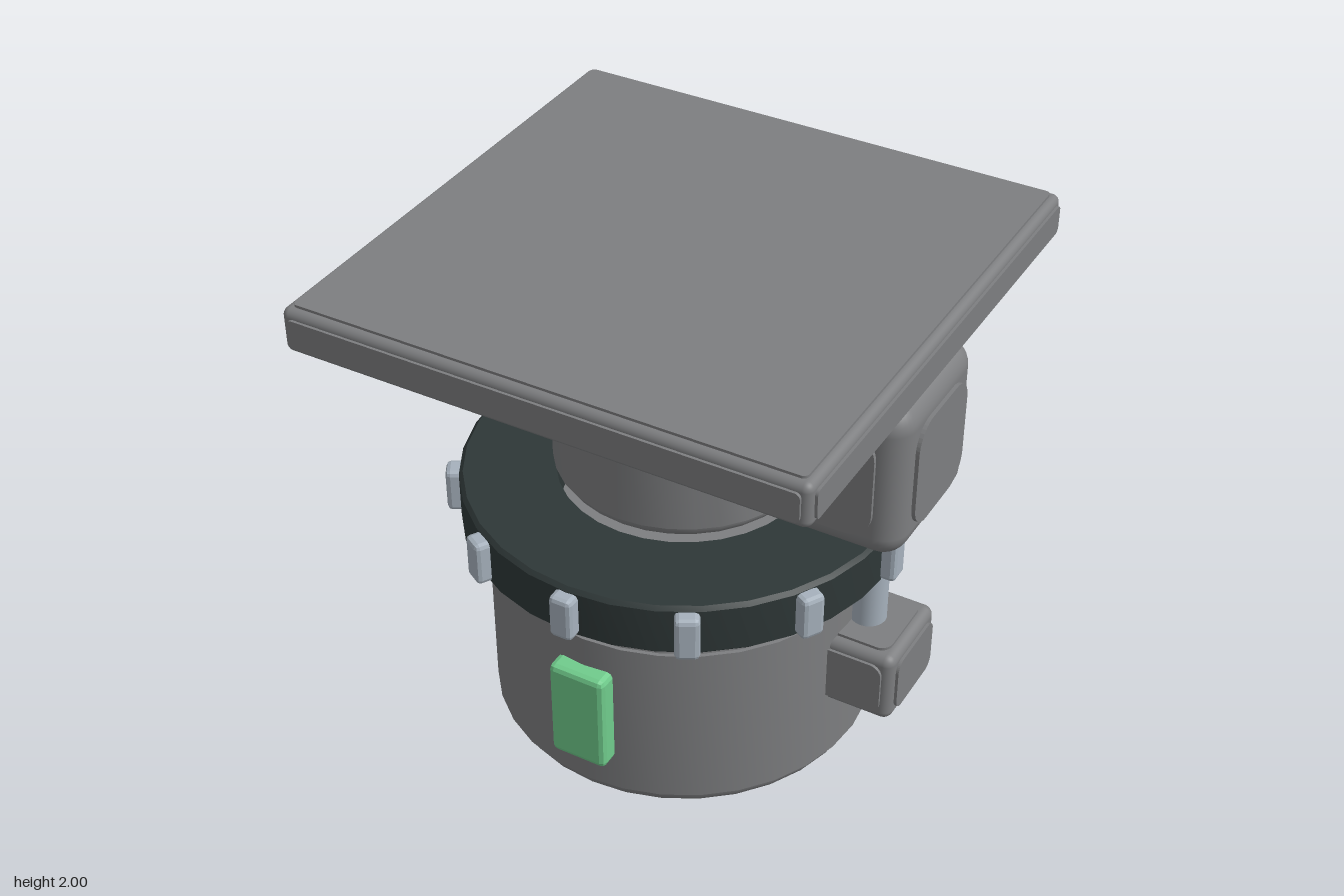
import * as THREE from 'three';
import { toCreasedNormals } from 'three/addons/utils/BufferGeometryUtils.js';
import { RoundedBoxGeometry } from 'three/addons/geometries/RoundedBoxGeometry.js';

const material = (name, color) => new THREE.MeshStandardMaterial({ name, color });

export function createModel() {
  const grey = material('machine grey', 0x7d7e80);
  const dark = material('dark ring', 0x2e3737);
  const steel = material('light steel', 0xa6b1bc);
  const green = material('indicator green', 0x70cc8c);

  const model = new THREE.Group();
  model.name = 'turntable';
  const axisX = -0.01;

  const add = (parent, name, geometry, mat, x = 0, y = 0, z = 0) => {
    const mesh = new THREE.Mesh(geometry, mat);
    mesh.name = name;
    mesh.position.set(x, y, z);
    parent.add(mesh);
    return mesh;
  };

  const lathe = (points) => toCreasedNormals(
    new THREE.LatheGeometry(points.map(([r, y]) => new THREE.Vector2(r, y)), 32), 0.6);

  // Drum with rounded shoulders and slightly raised wall and end caps
  const drum = (radius, y0, y1, bevel, step) => {
    const lower = [[0, y0], [radius - bevel, y0], [radius - bevel, y0 + step]];
    const b = bevel - step;
    for (let i = 1; i <= 5; i++) {
      const a = (i / 5) * Math.PI / 2;
      lower.push([radius - bevel + b * Math.sin(a), y0 + step + b * (1 - Math.cos(a))]);
    }
    lower.push([radius, y0 + bevel]);
    const upper = lower.map(([r, y]) => [r, y0 + y1 - y]).reverse();
    return lathe([...lower, ...upper]);
  };

  // Box with chamfered edges and flat faces
  const chamferBox = (w, h, d, c) => {
    const g = new RoundedBoxGeometry(w, h, d, 1, c);
    const flat = g.index ? g.toNonIndexed() : g;
    flat.computeVertexNormals();
    return flat;
  };

  // Rounded rectangle plate, facing +z
  const panel = (w, h, r, depth) => {
    const s = new THREE.Shape();
    const x = w / 2, y = h / 2;
    s.moveTo(-x + r, -y);
    s.lineTo(x - r, -y);
    s.absarc(x - r, -y + r, r, -Math.PI / 2, 0, false);
    s.absarc(x - r, y - r, r, 0, Math.PI / 2, false);
    s.absarc(-x + r, y - r, r, Math.PI / 2, Math.PI, false);
    s.absarc(-x + r, -y + r, r, Math.PI, Math.PI * 1.5, false);
    return new THREE.ExtrudeGeometry(s, { depth, bevelEnabled: false, curveSegments: 5 });
  };

  // Rounded housing with a raised panel on each of its six sides
  const housing = (name, [w, h, d], [x, y, z], bevel, corner, step) => {
    const group = new THREE.Group();
    group.name = name;
    group.position.set(x, y, z);
    add(group, name + 'Body', new RoundedBoxGeometry(w, h, d, 4, bevel), grey);
    const sides = [
      [w, h, d, 0, 0], [w, h, d, 0, Math.PI],
      [d, h, w, 0, Math.PI / 2], [d, h, w, 0, -Math.PI / 2],
      [w, d, h, -Math.PI / 2, 0], [w, d, h, Math.PI / 2, 0],
    ];
    for (const [pw, ph, depth, rx, ry] of sides) {
      const g = panel(pw - 2 * bevel, ph - 2 * bevel, corner, 0.01 + step);
      g.translate(0, 0, depth / 2 - 0.01);
      add(group, name + 'Panel', g, grey).rotation.set(rx, ry, 0);
    }
    model.add(group);
  };

  // Stacked drums
  add(model, 'baseDrum', drum(0.73, 0, 0.872, 0.095, 0.014), grey, axisX);
  add(model, 'upperDrum', drum(0.48, 1.07, 1.825, 0.075, 0.012), grey, axisX);

  // Gear ring with a centre hole
  add(model, 'gearRing', lathe([
    [0.47, 0.87], [0.81, 0.87], [0.825, 0.885], [0.825, 1.065],
    [0.81, 1.08], [0.47, 1.08], [0.47, 0.87],
  ]), dark, axisX);

  // Twelve teeth round the ring
  const teeth = new THREE.Group();
  teeth.name = 'gearTeeth';
  teeth.position.set(axisX, 0.975, 0);
  for (let i = 0; i < 12; i++) {
    const a = (i * Math.PI) / 6;
    const tooth = add(teeth, 'tooth', chamferBox(0.09, 0.175, 0.09, 0.018), steel,
      0.83 * Math.sin(a), 0, 0.83 * Math.cos(a));
    tooth.rotation.y = a;
  }
  model.add(teeth);

  // Top plate, side motor and lower gearbox
  housing('topPlate', [1.955, 0.17, 1.955], [-0.008, 1.905, 0], 0.03, 0.02, 0.01);
  housing('motor', [0.54, 0.62, 0.58], [0.7, 1.485, 0], 0.097, 0.1, 0.014);
  housing('gearbox', [0.37, 0.296, 0.37], [0.755, 0.508, 0], 0.038, 0.045, 0.011);

  // Drive shaft joining motor and gearbox
  add(model, 'driveShaft', new THREE.CylinderGeometry(0.068, 0.068, 0.54, 24), steel, 0.755, 0.915, 0);

  // Front indicator
  add(model, 'indicator', chamferBox(0.225, 0.415, 0.11, 0.022), green, axisX, 0.447, 0.737);

  return model;
}
